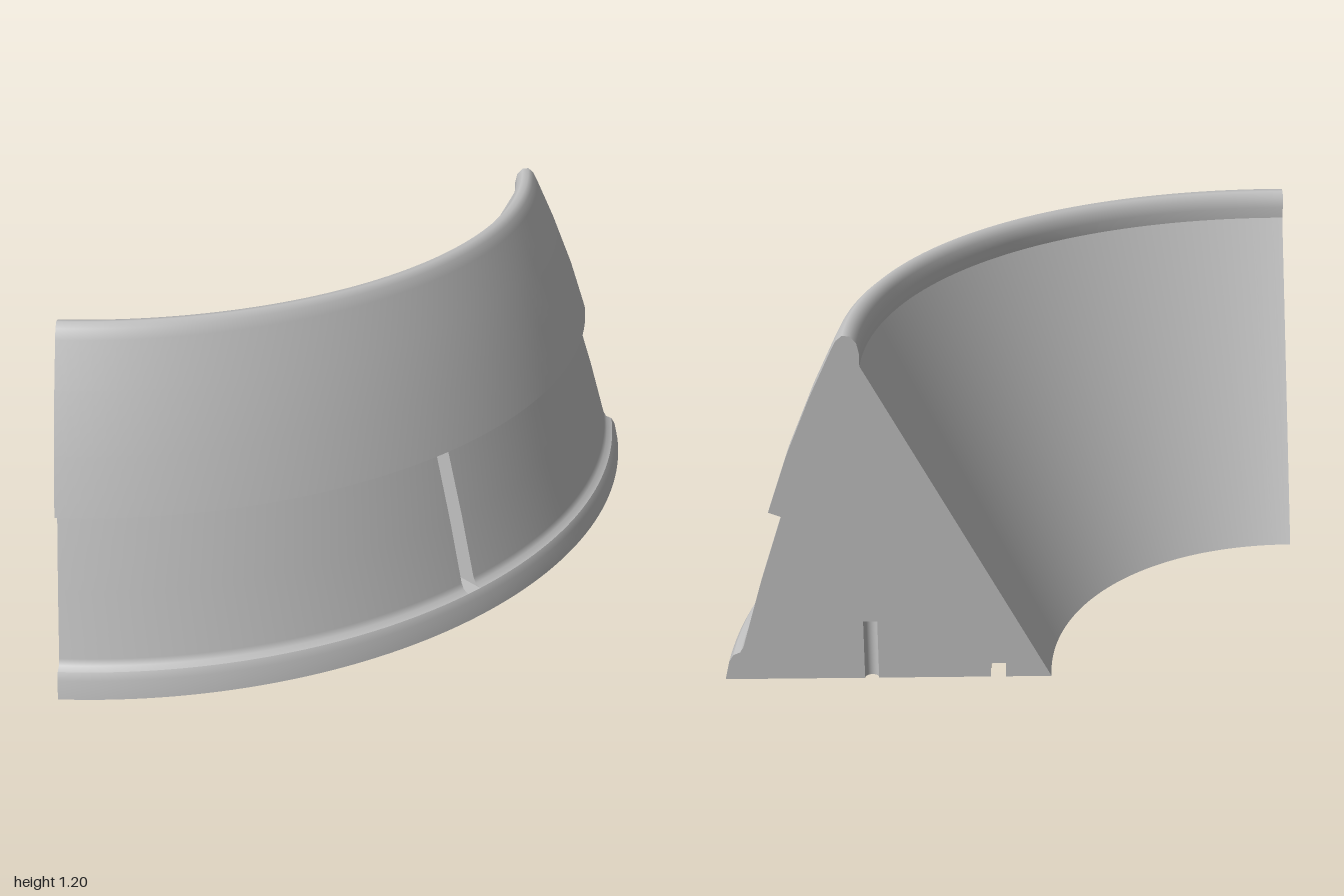
import * as THREE from 'three';

export function createModel() {
  const model = new THREE.Group();
  model.name = 'quarterRing';
  const grey = new THREE.MeshStandardMaterial({ color: 0xc0c0c0, side: THREE.DoubleSide });
  grey.name = 'plainGrey';

  // Everything revolves about the vertical axis at x = -1, z = -1
  const ring = new THREE.Group();
  ring.name = 'ringSection';
  ring.position.set(-1, 0, -1);
  model.add(ring);

  const add = (name, geometry) => {
    const mesh = new THREE.Mesh(geometry, grey);
    mesh.name = name;
    ring.add(mesh);
    return mesh;
  };
  const vectors = (points) => points.map(([r, y]) => new THREE.Vector2(r, y));
  const quarter = Math.PI / 2;
  const sweep = (name, points, start = 0, length = quarter, steps = 64) =>
    add(name, new THREE.LatheGeometry(vectors(points), steps, start, length));

  // Cross-section strips as [radius, height], split at the sharp edges
  const lip = [[2, 0], [1.985, 0.065], [1.97, 0.09]];
  const lowerWall = [[1.97, 0.09], [1.947, 0.1], [1.935, 0.12], [1.868, 0.35], [1.79, 0.59]];
  const overhang = [[1.79, 0.59], [1.83, 0.605]];
  const upperWall = [[1.83, 0.605], [1.764, 0.8], [1.682, 1.0], [1.612, 1.15], [1.595, 1.183],
    [1.575, 1.2], [1.552, 1.197], [1.532, 1.175], [1.525, 1.14], [1.525, 1.1]];
  const innerCone = [[1.525, 1.1], [0.93, 0]];
  const channel = [[1.08, 0], [1.08, 0.05], [1.13, 0.05], [1.13, 0]];

  sweep('baseLip', lip);
  sweep('overhangStep', overhang);
  sweep('upperWall', upperWall);
  sweep('innerCone', innerCone);
  for (let i = 0; i < 3; i++) sweep('bottomChannel', [channel[i], channel[i + 1]]);

  // Lower wall, interrupted at its middle by a narrow upright slot
  const half = 0.0155, mid = quarter / 2, floor = 1.72;
  sweep('lowerWall', lowerWall, 0, mid - half, 32);
  sweep('lowerWall', lowerWall, mid + half, mid - half, 32);
  const slot = [[1.97, 0.09], [floor, 0.09], [floor, 0.59], [1.79, 0.59]];
  for (let i = 0; i < 3; i++) sweep('slotFloor', [slot[i], slot[i + 1]], mid - half, 2 * half, 2);
  const slotSide = new THREE.Shape(vectors([...lowerWall, [floor, 0.59], [floor, 0.09]]));
  for (const side of [-1, 1]) {
    add('slotSide', new THREE.ShapeGeometry(slotSide)).rotation.y = mid + side * half - quarter;
  }

  // Flat end faces; the one at the back is notched by half a pin hole
  const pinR = 1.52, pinSize = 0.023, pinDepth = 0.21;
  const outline = [...lip, ...lowerWall.slice(1), ...overhang.slice(1), ...upperWall.slice(1),
    [0.93, 0], ...channel];
  const notch = [[pinR - pinSize, 0], [pinR - pinSize, pinDepth],
    [pinR + pinSize, pinDepth], [pinR + pinSize, 0]];
  add('sideEndFace', new THREE.ShapeGeometry(new THREE.Shape(vectors(outline)))).rotation.y = -quarter;
  add('backEndFace', new THREE.ShapeGeometry(new THREE.Shape(vectors([...outline, ...notch]))));

  // Underside, drawn in plan on both sides of the channel
  const holeX = pinR * Math.cos(Math.PI / 3), holeZ = pinR * Math.sin(Math.PI / 3);
  const outer = new THREE.Shape();
  outer.moveTo(2, 0);
  outer.absarc(0, 0, 2, 0, quarter, false);
  outer.absarc(0, 0, 1.13, quarter, 0, true);
  outer.absarc(pinR, 0, pinSize, Math.PI, 0, true);
  const hole = new THREE.Path();
  hole.absarc(holeX, holeZ, pinSize, 0, Math.PI * 2, true);
  outer.holes.push(hole);
  const inner = new THREE.Shape();
  inner.absarc(0, 0, 1.08, 0, quarter, false);
  inner.absarc(0, 0, 0.93, quarter, 0, true);
  for (const shape of [outer, inner]) {
    add('underside', new THREE.ShapeGeometry(shape, 64).rotateX(quarter));
  }

  // Pin holes: a half one at the back end, a full one a third of a half turn on
  const pin = (x, z, angle) => {
    add('pinHoleWall', new THREE.CylinderGeometry(pinSize, pinSize, pinDepth, 24, 1, true, -quarter, angle))
      .position.set(x, pinDepth / 2, z);
    add('pinHoleEnd', new THREE.CircleGeometry(pinSize, 24, 0, angle).rotateX(quarter))
      .position.set(x, pinDepth, z);
  };
  pin(pinR, 0, Math.PI);
  pin(holeX, holeZ, Math.PI * 2);

  return model;
}
